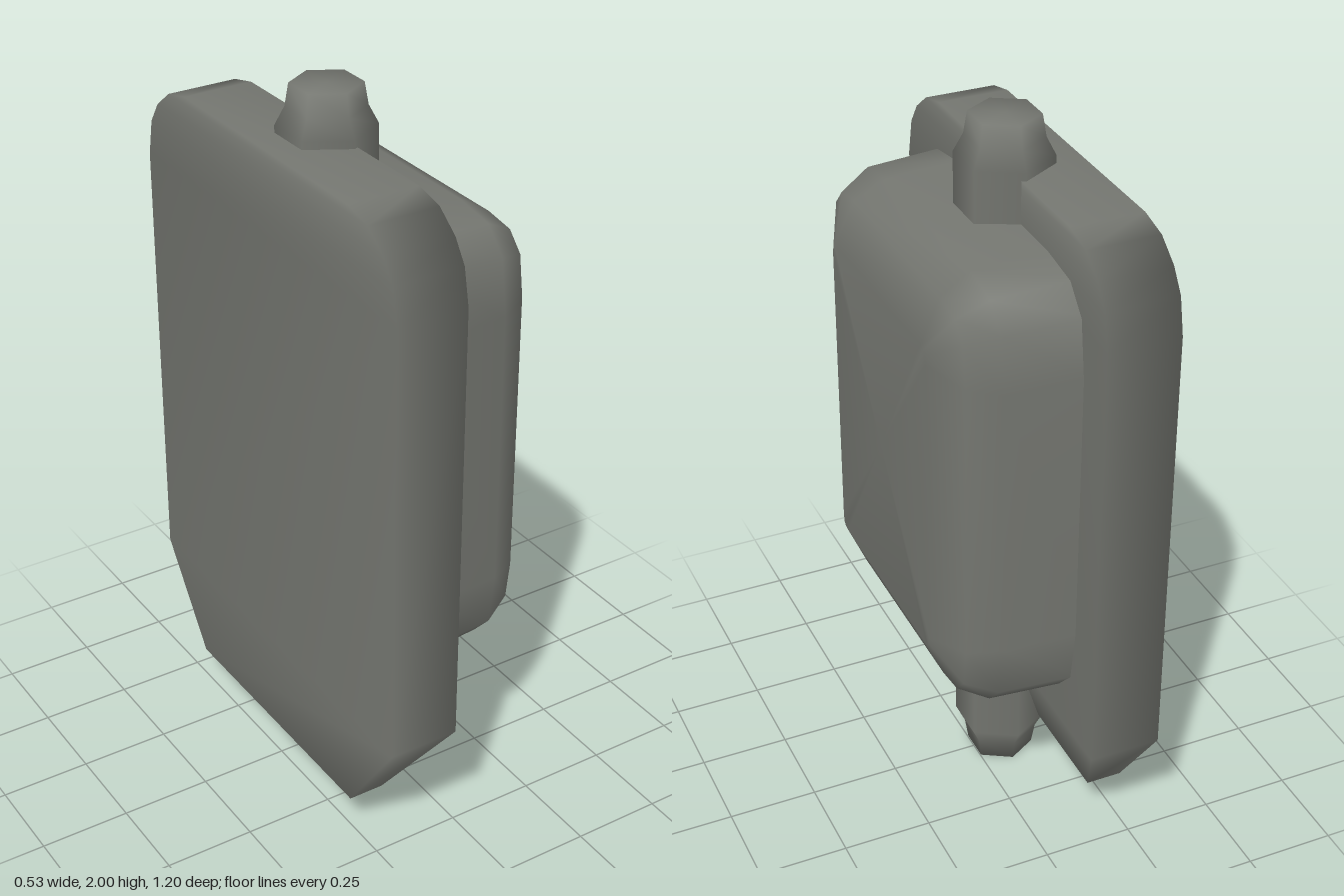
import * as THREE from 'three';

// Skin closed loops (counter-clockwise about the direction of travel) with shared, smooth vertices.
function loft(loops, capStart, capEnd) {
  const n = loops[0].length, pos = loops.flat(2), idx = [];
  for (let r = 0; r < loops.length - 1; r++) {
    for (let i = 0; i < n; i++) {
      const a = r * n + i, b = r * n + (i + 1) % n;
      idx.push(a, b, b + n, a, b + n, a + n);
    }
  }
  const cap = (row, flip) => {
    const c = pos.length / 3, mid = [0, 0, 0];
    loops[row].forEach(p => p.forEach((v, k) => { mid[k] += v / n; }));
    pos.push(...mid);
    for (let i = 0; i < n; i++) {
      const a = row * n + i, b = row * n + (i + 1) % n;
      idx.push(c, flip ? b : a, flip ? a : b);
    }
  };
  if (capStart) cap(0, true);
  if (capEnd) cap(loops.length - 1, false);
  const g = new THREE.BufferGeometry();
  g.setAttribute('position', new THREE.Float32BufferAttribute(pos, 3));
  g.setIndex(idx);
  g.computeVertexNormals();
  return g;
}

export function createModel() {
  const group = new THREE.Group();
  const grey = new THREE.MeshStandardMaterial({ color: 0x747670 });
  grey.name = 'dull grey';
  const add = (name, geometry) => {
    const mesh = new THREE.Mesh(geometry, grey);
    mesh.name = name;
    group.add(mesh);
  };

  // Backing plate: rectangular sections [y, half width, front x], tapered foot and rounded top
  const back = -0.27;
  const rows = [
    [0.12, 0.4, -0.17], [0.4, 0.6, -0.072], [1.64, 0.6, -0.072], [1.74, 0.58, -0.072],
    [1.80, 0.54, -0.072], [1.85, 0.475, -0.072], [1.87, 0.39, -0.072],
  ];
  add('backingPlate', loft(rows.map(([y, w, front]) => [
    [back, y, w], [front, y, w], [front, y, -w], [back, y, -w],
  ]), true, true));

  // Cushioned body: rounded rectangles [x, half height, half width, corner scale]
  const corner = [[0.25, 0], [0.09, 0.022], [0.02, 0.087], [0, 0.215]]; // insets in y, z
  const sections = [
    [-0.1, 0.633, 0.488, 1], [0.13, 0.62, 0.475, 0.95],
    [0.213, 0.57, 0.43, 0.7], [0.265, 0.45, 0.31, 0.15],
  ];
  const roundedLoop = ([x, hy, hz, k]) => {
    const loop = [];
    for (const [sy, sz] of [[1, 1], [-1, 1], [-1, -1], [1, -1]]) {
      const pts = corner.map(([dy, dz]) => [x, 1.122 + sy * (hy - dy * k), sz * (hz - dz * k)]);
      loop.push(...(sy * sz > 0 ? pts.reverse() : pts));
    }
    return loop;
  };
  add('body', loft(sections.map(roundedLoop), false, true));

  // Hexagonal hinge pin with necked ends
  const end = [[0, 0], [0.093, 0], [0.103, 0.06], [0.129, 0.11]];
  const profile = [...end, ...end.map(([r, y]) => [r, 2 - y]).reverse()];
  const pin = new THREE.LatheGeometry(profile.map(p => new THREE.Vector2(...p)), 6);
  pin.translate(-0.083, 0, 0);
  add('hingePin', pin);

  return group;
}
